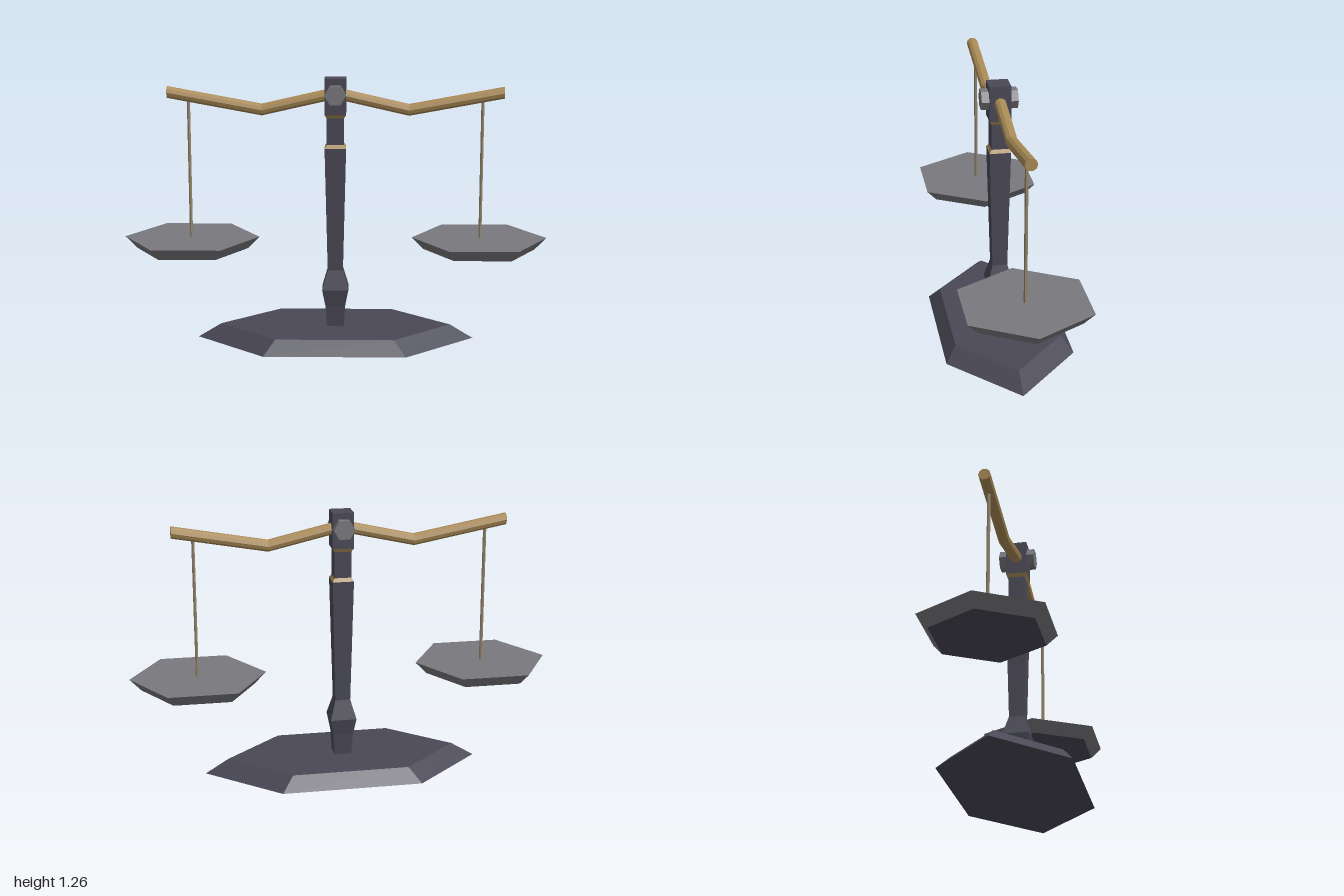
import * as THREE from 'three';

const mat = (name, color) => {
  const m = new THREE.MeshStandardMaterial({ color });
  m.name = name;
  return m;
};

// Faceted normals on every face
const facet = (geo) => {
  const g = geo.toNonIndexed();
  g.computeVertexNormals();
  return g;
};

// Hexagonal frustum with corners on the x axis
const hexFrustum = (rTop, rBottom, h) =>
  new THREE.CylinderGeometry(rTop, rBottom, h, 6).rotateY(Math.PI / 6);

// Square frustum, sides parallel to x and z, given as half widths
const squareFrustum = (top, bottom, h, open) =>
  new THREE.CylinderGeometry(top * Math.SQRT2, bottom * Math.SQRT2, h, 4, 1, open, Math.PI / 4);

export function createModel() {
  const iron = mat('dark iron', 0x494855);
  const brass = mat('brass', 0xa98a56);
  const steel = mat('grey steel', 0x78787d);
  const wire = mat('dull bronze', 0x94856c);

  const model = new THREE.Group();
  model.name = 'balanceScale';
  const add = (name, geo, material, x = 0, y = 0, z = 0) => {
    const mesh = new THREE.Mesh(facet(geo), material);
    mesh.name = name;
    mesh.position.set(x, y, z);
    model.add(mesh);
    return mesh;
  };

  // Base: stretched hexagon with sloping sides
  add('base', hexFrustum(0.55, 0.66, 0.067).scale(1, 1, 0.532), iron, 0, 0.0335);

  // Post: stacked square sections [height, half width, material of the section above]
  const profile = [
    [0.06, 0.04, iron], [0.17, 0.047, iron], [0.25, 0.062, iron], [0.343, 0.036, iron],
    [0.93, 0.05, brass], [0.947, 0.04, iron], [1.071, 0.04, brass], [1.088, 0.05, iron],
    [1.256, 0.05],
  ];
  for (let i = 0; i < profile.length - 1; i++) {
    const [y0, w0, material] = profile[i];
    const [y1, w1] = profile[i + 1];
    const isHead = i === profile.length - 2;
    const name = isHead ? 'postHead' : material === brass ? 'postCollar' : 'postSection';
    add(name, squareFrustum(w1, w0, y1 - y0, !isHead), material, 0, (y0 + y1) / 2);
  }

  // Pivot bolt through the head
  add('pivotBolt', hexFrustum(0.05, 0.05, 0.17).rotateX(Math.PI / 2), steel, 0, 1.183);

  // Beam: a bar along x, bent through five stations
  const stations = [[-0.784, 1.188], [-0.343, 1.107], [0, 1.185], [0.343, 1.107], [0.784, 1.188]];
  const beam = new THREE.CylinderGeometry(0.028, 0.028, 4, 10, 4).rotateZ(-Math.PI / 2);
  const p = beam.attributes.position;
  for (let i = 0; i < p.count; i++) {
    const [x, y] = stations[Math.round(p.getX(i)) + 2];
    p.setXYZ(i, x, p.getY(i) + y, p.getZ(i));
  }
  add('beam', beam, brass);

  // Hanging rods and pans, with dark undersides
  for (const [side, s] of [['left', 1], ['right', -1]]) {
    add(side + 'Rod', new THREE.CylinderGeometry(0.008, 0.008, 0.68, 6), wire, s * 0.685, 0.83);
    add(side + 'Pan', hexFrustum(0.319, 0.265, 0.056), [steel, steel, iron], s * 0.681, 0.469);
  }

  return model;
}
